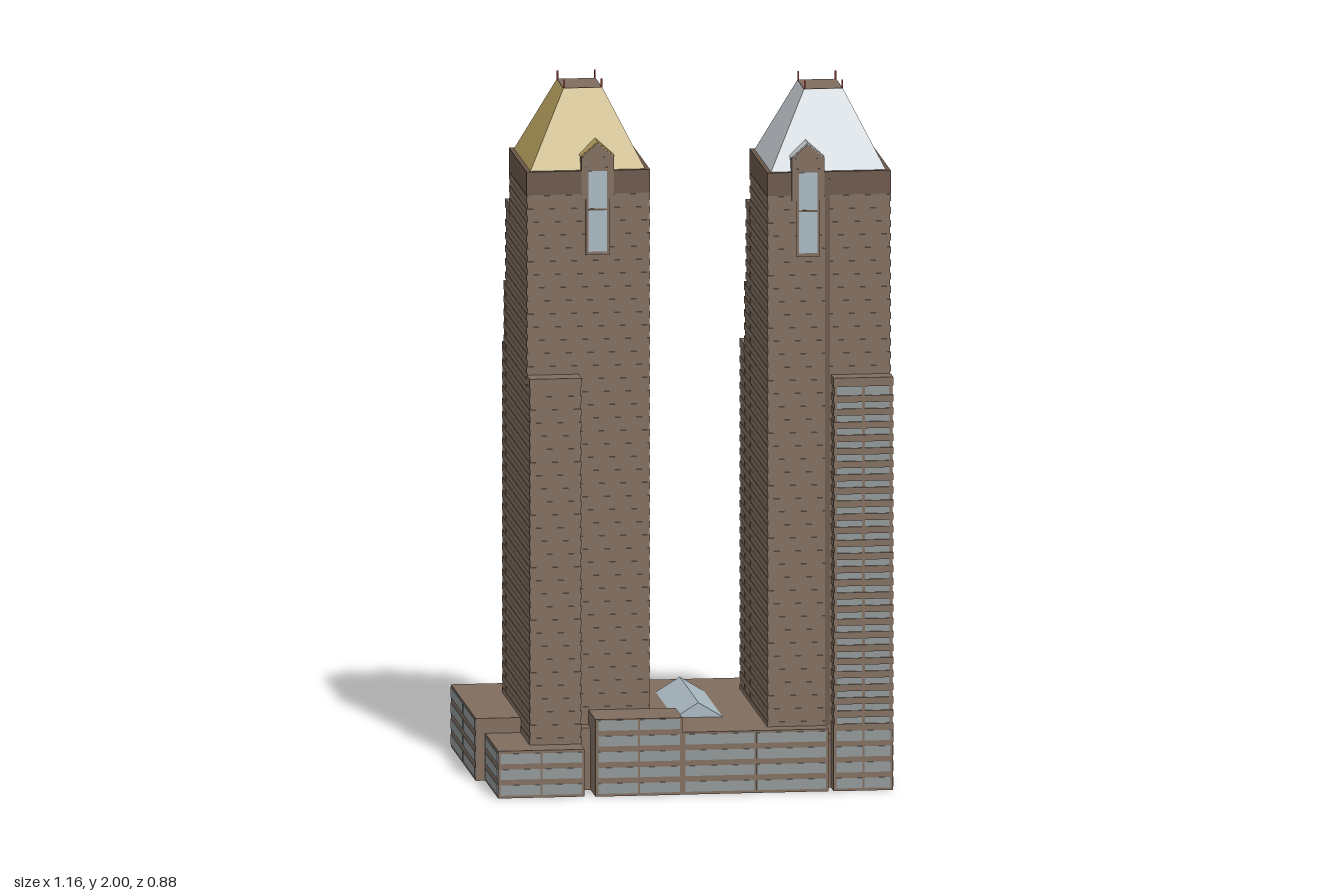
import * as THREE from 'three';
import { mergeGeometries } from 'three/addons/utils/BufferGeometryUtils.js';

const mat = (color) => new THREE.MeshStandardMaterial({ color, side: THREE.DoubleSide });
const stone = mat(0x806d5f), darkStone = mat(0x695648), window_ = mat(0x8f9596);
const paleGlass = mat(0xa9b8c0), gold = mat(0xb59f5e), silver = mat(0xbfc5ca), red = mat(0xa03028);

// Box given by its limits
function box(x0, x1, y0, y1, z0, z1) {
  return new THREE.BoxGeometry(x1 - x0, y1 - y0, z1 - z0)
    .translate((x0 + x1) / 2, (y0 + y1) / 2, (z0 + z1) / 2);
}

function add(parent, name, geos, material) {
  const mesh = new THREE.Mesh(mergeGeometries([].concat(geos)), material);
  mesh.name = name;
  parent.add(mesh);
}

// Gabled prism with its ridge along z
function gable(x0, x1, y0, y1, z0, z1) {
  const s = new THREE.Shape([
    new THREE.Vector2(x0, y0), new THREE.Vector2(x1, y0), new THREE.Vector2((x0 + x1) / 2, y1)]);
  return new THREE.ExtrudeGeometry(s, { depth: z1 - z0, bevelEnabled: false }).translate(0, 0, z0);
}

// Tower volume: recessed glazing, a proud spandrel at each floor, and piers
function facadeBlock(parent, name, [x0, x1, z0, z1], y0, y1, cap = 0.025) {
  const d = 0.005, pitch = 0.0375, ribs = [];
  const g = new THREE.Group();
  g.name = name;
  add(g, 'windowBands', box(x0 + d, x1 - d, y0, y1 - 0.003, z0 + d, z1 - d), window_);
  for (let y = y0; y < y1 - cap - 0.02; y += pitch) ribs.push(box(x0, x1, y, y + 0.019, z0, z1));
  const piers = (a, b, make) => {
    const n = Math.max(1, Math.round((b - a) / 0.085));
    for (let i = 0; i <= n; i++) {
      const c = a + 0.006 + (b - a - 0.012) * i / n;
      ribs.push(make(c - 0.004, c + 0.004));
    }
  };
  piers(x0, x1, (a, b) => box(a, b, y0, y1 - 0.004, z0 + 0.002, z1 - 0.002));
  if (z1 - z0 > 0.06) piers(z0, z1, (a, b) => box(x0 + 0.002, x1 - 0.002, y0, y1 - 0.004, a, b));
  add(g, 'spandrelsAndPiers', ribs, stone);
  add(g, 'parapet', box(x0, x1, y1 - cap, y1, z0, z1), cap > 0.05 ? darkStone : stone);
  parent.add(g);
}

// Open-bottomed podium volume from a plan outline
function shell(parent, name, pts, h) {
  const walls = pts.map(([ax, az], i) => {
    const [bx, bz] = pts[(i + 1) % pts.length];
    return new THREE.PlaneGeometry(Math.hypot(bx - ax, bz - az), h)
      .rotateY(-Math.atan2(bz - az, bx - ax))
      .translate((ax + bx) / 2, h / 2, (az + bz) / 2);
  });
  add(parent, name + 'Walls', walls, stone);
  const roof = new THREE.ShapeGeometry(new THREE.Shape(pts.map(([x, z]) => new THREE.Vector2(x, z))));
  add(parent, name + 'Roof', roof.rotateX(Math.PI / 2).translate(0, h, 0), stone);
}

// Tower with rear setbacks, hipped crown, and gabled bays front and back
function tower(name, o) {
  const g = new THREE.Group();
  g.name = name;
  const W = 0.175, base = 0.135;
  const span = (a, b) => o.mirror ? [-b, -a] : [a, b];
  facadeBlock(g, 'mainShaft', [-W, W, -0.195, 0.195], base, 1.76, 0.066);
  facadeBlock(g, 'upperSetback', [-W, W, -0.279, -0.195], base, 1.6);
  facadeBlock(g, 'middleSetback', [-W, W, -0.316, -0.279], base, 1.36);
  facadeBlock(g, 'lowerSetback', [-W, W, -0.35, -0.316], base, 1.18);
  facadeBlock(g, 'rearWing', [...span(0.03, W), -0.411, -0.35], base, 1.18);
  facadeBlock(g, 'frontWing', [...span(-W, -W + o.wingWidth), 0.195, 0.195 + o.wingDepth], base, 1.18);

  // Crown: a box whose top is drawn in
  const crown = new THREE.BoxGeometry(0.325, 0.215, 0.361).translate(0, 1.8675, 0).toNonIndexed();
  const p = crown.attributes.position;
  for (let i = 0; i < p.count; i++) {
    if (p.getY(i) > 1.9) p.setXYZ(i, p.getX(i) * 0.34, 1.975, p.getZ(i) * 0.41);
  }
  crown.computeVertexNormals();
  add(g, 'crownRoof', crown, o.roof);
  add(g, 'crownDeck', box(-0.055, 0.055, 1.972, 1.976, -0.074, 0.074), stone);
  const tips = [];
  for (const x of [-0.053, 0.053]) for (const z of [-0.072, 0.072]) {
    tips.push(box(x - 0.002, x + 0.002, 1.975, 2, z - 0.002, z + 0.002));
  }
  add(g, 'beacons', tips, red);

  // Gabled bays
  const c = o.bayX;
  for (const s of [1, -1]) {
    const bay = new THREE.Group();
    bay.name = s > 0 ? 'frontBay' : 'rearBay';
    add(bay, 'bayWalls', box(c - 0.046, c + 0.046, 1.68, 1.8, 0.14, 0.199), stone);
    add(bay, 'bayFrame', box(c - 0.034, c + 0.034, s > 0 ? 1.52 : 1.605, 1.77, 0.19, 0.2), stone);
    add(bay, 'bayWindow', box(c - 0.026, c + 0.026, s > 0 ? 1.53 : 1.61, 1.76, 0.19, 0.202), paleGlass);
    add(bay, 'bayMullion', box(c - 0.026, c + 0.026, 1.648, 1.653, 0.19, 0.2035), darkStone);
    add(bay, 'bayGable', gable(c - 0.046, c + 0.046, 1.8, 1.84, 0.12, 0.1985), stone);
    const roof = gable(c - 0.049, c + 0.049, 1.801, 1.844, 0.12, 0.195);
    add(bay, 'bayRoof', roof, o.roof);
    bay.scale.z = s;
    g.add(bay);
  }
  g.position.set(o.x, 0, o.z);
  return g;
}

export function createModel() {
  const model = new THREE.Group();
  model.name = 'twinTowerComplex';
  const site = new THREE.Group();
  site.name = 'site';
  site.rotation.y = -0.0375;
  model.add(site);

  // Podium
  const podium = new THREE.Group();
  podium.name = 'podium';
  site.add(podium);
  shell(podium, 'mainPodium', [
    [-0.577, -0.42], [0.46, -0.42], [0.46, -0.188], [0.568, -0.188], [0.568, 0.413], [0.4, 0.413],
    [0.4, 0.35], [0.386, 0.35], [0.386, 0.411], [-0.028, 0.411], [-0.028, 0.257], [-0.275, 0.257],
    [-0.275, 0.307], [-0.305, 0.307], [-0.305, 0.122], [-0.577, 0.122]], 0.178);
  shell(podium, 'lowPodium', [[-0.55, 0.122], [-0.305, 0.122], [-0.305, 0.406], [-0.55, 0.406]], 0.135);
  shell(podium, 'raisedPodium', [[-0.275, 0.257], [-0.028, 0.257], [-0.028, 0.412], [-0.275, 0.412]], 0.22);

  // Podium window bands: limits in plan, then height
  const bands = [], t = 0.002;
  const runs = [
    [-0.546, -0.31, 0.405, 0.406 + t, 0.135], [-0.27, -0.033, 0.41, 0.412 + t, 0.22],
    [-0.023, 0.381, 0.41, 0.411 + t, 0.178], [0.405, 0.564, 0.412, 0.413 + t, 0.178],
    [-0.572, 0.455, -0.42 - t, -0.419, 0.178], [-0.577 - t, -0.576, -0.415, 0.117, 0.178],
    [-0.55 - t, -0.549, 0.127, 0.401, 0.135], [0.567, 0.568 + t, 0.145, 0.408, 0.178]];
  for (const [x0, x1, z0, z1, h] of runs) {
    for (let y = 0.008; y + 0.03 < h; y += 0.045) {
      const alongX = x1 - x0 > z1 - z0, n = Math.max(2, Math.round(Math.max(x1 - x0, z1 - z0) / 0.25));
      for (let i = 0; i < n; i++) {
        const cut = (a, b) => [a + (b - a) * i / n + 0.003, a + (b - a) * (i + 1) / n - 0.003];
        const [a, b] = alongX ? cut(x0, x1) : cut(z0, z1);
        bands.push(alongX ? box(a, b, y, y + 0.029, z0, z1) : box(x0, x1, y, y + 0.029, a, b));
      }
    }
  }
  add(podium, 'podiumWindows', bands, window_);
  add(podium, 'blankSideWall', box(0.56, 0.5715, 0, 0.28, -0.188, 0.14), stone);
  add(podium, 'skylight', gable(-0.022, 0.115, 0.178, 0.22, -0.227, 0.183), paleGlass);

  // Towers
  site.add(tower('goldTower', {
    x: -0.275, z: 0.062, roof: gold, bayX: 0.026, wingWidth: 0.147, wingDepth: 0.065 }));
  const silverTower = tower('silverTower', {
    x: 0.394, z: 0.162, roof: silver, bayX: -0.06, wingWidth: 0.169, wingDepth: 0.057, mirror: true });
  add(silverTower, 'frontSlot', box(-0.011, 0.003, 0.18, 1.74, 0.19, 0.1965), darkStone);
  site.add(silverTower);
  return model;
}
